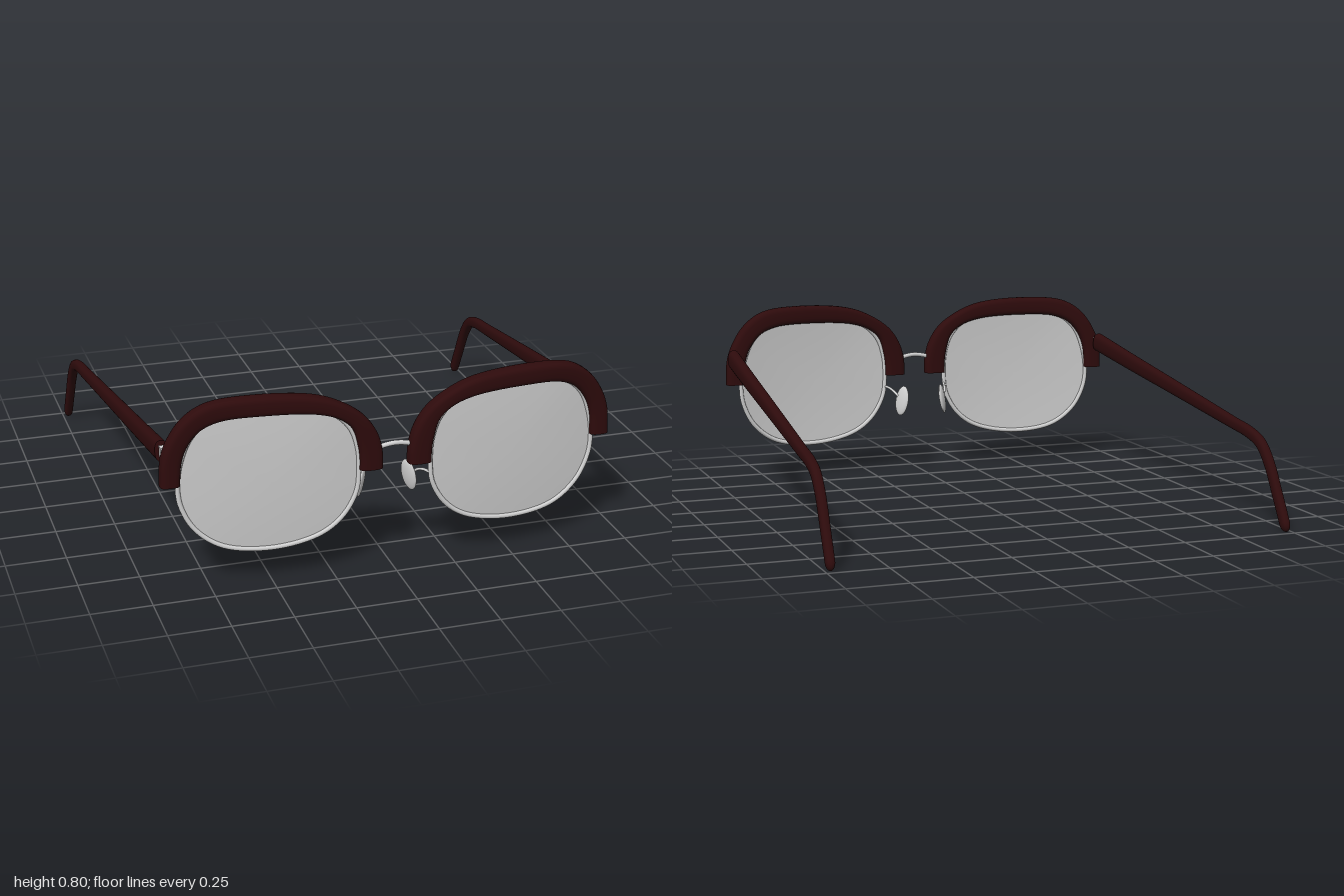
import * as THREE from 'three';

const V = (x, y, z = 0) => new THREE.Vector3(x, y, z);
const spline = (pts, closed = false) => new THREE.CatmullRomCurve3(pts, closed, 'centripetal');
const flat = (list) => spline(list.map(([x, y]) => V(x, y)));

// The frame front wraps gently backward towards the temples
const wrapZ = (x) => 0.958 - 0.083 * x * x;

// Sweep a rounded-rectangle section through frames {c, u, v}, with flat end caps
function loft(frames, power, sides = 24) {
  const pos = [], index = [];
  const soft = (n) => Math.sign(n) * Math.pow(Math.abs(n), 2 / power);
  const addRing = ({ c, u, v }) => {
    for (let j = 0; j <= sides; j++) {
      const a = (j / sides) * Math.PI * 2;
      const p = c.clone().addScaledVector(u, soft(Math.cos(a))).addScaledVector(v, soft(Math.sin(a)));
      pos.push(p.x, p.y, p.z);
    }
  };
  frames.forEach(addRing);
  const row = sides + 1;
  for (let i = 0; i < frames.length - 1; i++) {
    for (let j = 0; j < sides; j++) {
      const a = i * row + j, b = a + 1, c = a + row, d = c + 1;
      index.push(a, b, c, b, d, c);
    }
  }
  [frames[0], frames[frames.length - 1]].forEach((f, end) => {
    const start = pos.length / 3;
    addRing(f);
    pos.push(f.c.x, f.c.y, f.c.z);
    for (let j = 0; j < sides; j++) {
      const a = start + j, b = a + 1, m = start + row;
      if (end) index.push(m, a, b); else index.push(m, b, a);
    }
  });
  return build(pos, index);
}

function build(pos, index) {
  const g = new THREE.BufferGeometry();
  g.setAttribute('position', new THREE.Float32BufferAttribute(pos, 3));
  g.setIndex(index);
  g.computeVertexNormals();
  return g;
}

// Mirror a geometry across x = 0, keeping its faces outward
function mirrored(geometry) {
  const g = geometry.clone().scale(-1, 1, 1);
  const ix = g.index.array;
  for (let i = 0; i < ix.length; i += 3) [ix[i], ix[i + 1]] = [ix[i + 1], ix[i]];
  return g;
}

// Thick bar over the upper half of a lens
function browGeometry() {
  const outer = flat([[0.053, 0.465], [0.055, 0.53], [0.075, 0.61], [0.128, 0.69], [0.225, 0.757], [0.335, 0.797],
    [0.56, 0.815], [0.75, 0.797], [0.84, 0.742], [0.9, 0.66], [0.93, 0.58], [0.938, 0.465]]);
  const inner = flat([[0.15, 0.465], [0.15, 0.51], [0.158, 0.57], [0.182, 0.645], [0.235, 0.69], [0.33, 0.72],
    [0.55, 0.732], [0.7, 0.722], [0.775, 0.69], [0.825, 0.63], [0.85, 0.56], [0.858, 0.465]]);
  const frames = [];
  for (let i = 0; i <= 66; i++) {
    const o = outer.getPoint(i / 66), n = inner.getPoint(i / 66);
    const c = o.clone().add(n).multiplyScalar(0.5);
    c.z = wrapZ(c.x);
    frames.push({ c, u: o.sub(n).multiplyScalar(0.5), v: V(0, 0, 0.035) });
  }
  return loft(frames, 3.2);
}

// Temple arm: tapers back, then bends down behind the ear to a rounded tip
function templeGeometry() {
  const path = spline([[0.84, 0.59], [0.5, 0.541], [0, 0.472], [-0.5, 0.402], [-0.66, 0.379], [-0.75, 0.348],
    [-0.82, 0.278], [-0.9, 0.145], [-0.975, 0.015]].map(([z, y]) => V(0.913 + (0.84 - z) * 0.035, y, z)));
  const steps = 80, frames = [];
  const addFrame = (t, shrink) => {
    const c = path.getPointAt(t), dir = path.getTangentAt(t);
    const half = Math.max(0.025, 0.043 - 0.026 * t);
    const u = V(1, 0, 0).cross(dir).normalize().multiplyScalar(half * shrink);
    frames.push({ c, u, v: V((0.027 - 0.008 * t) * shrink, 0, 0) });
  };
  for (let i = 0; i <= steps; i++) addFrame((i / steps) * 0.982, 1);
  for (let i = 1; i <= 6; i++) {
    const a = (i / 6) * Math.PI / 2;
    addFrame(0.982 + 0.018 * Math.sin(a), Math.max(0.02, Math.cos(a)));
  }
  return loft(frames, 2.6);
}

// Lens outline, shared by the lens and its wire rim
const outline = spline([[0.149, 0.46], [0.16, 0.365], [0.217, 0.266], [0.31, 0.199], [0.5, 0.161], [0.695, 0.187],
  [0.803, 0.266], [0.857, 0.37], [0.867, 0.46], [0.852, 0.56], [0.81, 0.66], [0.73, 0.725], [0.56, 0.742],
  [0.28, 0.722], [0.19, 0.65], [0.156, 0.56]].map(([x, y]) => V(x, y, wrapZ(x))), true);

function lensGeometry() {
  const n = 72, rings = 8, pos = [], index = [];
  for (let r = 0; r <= rings; r++) {
    for (let j = 0; j < n; j++) {
      const p = outline.getPoint(j / n), s = r / rings;
      const x = 0.505 + (p.x - 0.505) * s, y = 0.455 + (p.y - 0.455) * s;
      pos.push(x, y, wrapZ(x) + 0.008 * (1 - s * s));
      if (r === rings) continue;
      const a = r * n + j, b = r * n + (j + 1) % n;
      if (r > 0) index.push(a, a + n, b);
      index.push(b, a + n, b + n);
    }
  }
  return build(pos, index);
}

// Thin oval nose pad, leaning in at the top and towards the back
function nosePadGeometry() {
  return new THREE.SphereGeometry(1, 24, 16).scale(0.013, 0.07, 0.039)
    .rotateY(0.5).rotateZ(0.17).translate(0.101, 0.354, 0.838);
}

export function createModel() {
  const model = new THREE.Group();
  const material = (name, color, side = THREE.FrontSide) => {
    const m = new THREE.MeshStandardMaterial({ color, side });
    m.name = name;
    return m;
  };
  const frame = material('dark tortoise brown', 0x2e0b0c);
  const metal = material('silver metal', 0xd2d2d2);
  const glass = material('pale grey lens', 0xcccccc, THREE.DoubleSide);

  const add = (name, geometry, mat) => {
    const mesh = new THREE.Mesh(geometry, mat);
    mesh.name = name;
    model.add(mesh);
  };
  const addPair = (name, geometry, mat) => {
    add('left' + name, geometry, mat);
    add('right' + name, mirrored(geometry), mat);
  };

  addPair('BrowBar', browGeometry(), frame);
  addPair('Temple', templeGeometry(), frame);
  addPair('Lens', lensGeometry(), glass);
  addPair('LensRim', new THREE.TubeGeometry(outline, 96, 0.01, 8, true), metal);
  addPair('Hinge', new THREE.BoxGeometry(0.028, 0.045, 0.04).translate(0.909, 0.59, 0.848), metal);
  addPair('NosePad', nosePadGeometry(), metal);

  // Wire from the rim back to the nose pad
  const arm = spline([V(0.148, 0.41, 0.955), V(0.137, 0.405, 0.915), V(0.125, 0.39, 0.875), V(0.108, 0.365, 0.845)]);
  addPair('NosePadArm', new THREE.TubeGeometry(arm, 20, 0.006, 8), metal);

  // Slightly arched bridge wire
  const bridge = spline([V(-0.08, 0.54, 0.955), V(-0.05, 0.55, 0.955), V(0, 0.557, 0.957),
    V(0.05, 0.55, 0.955), V(0.08, 0.54, 0.955)]);
  add('bridge', new THREE.TubeGeometry(bridge, 24, 0.01, 10), metal);

  return model;
}
